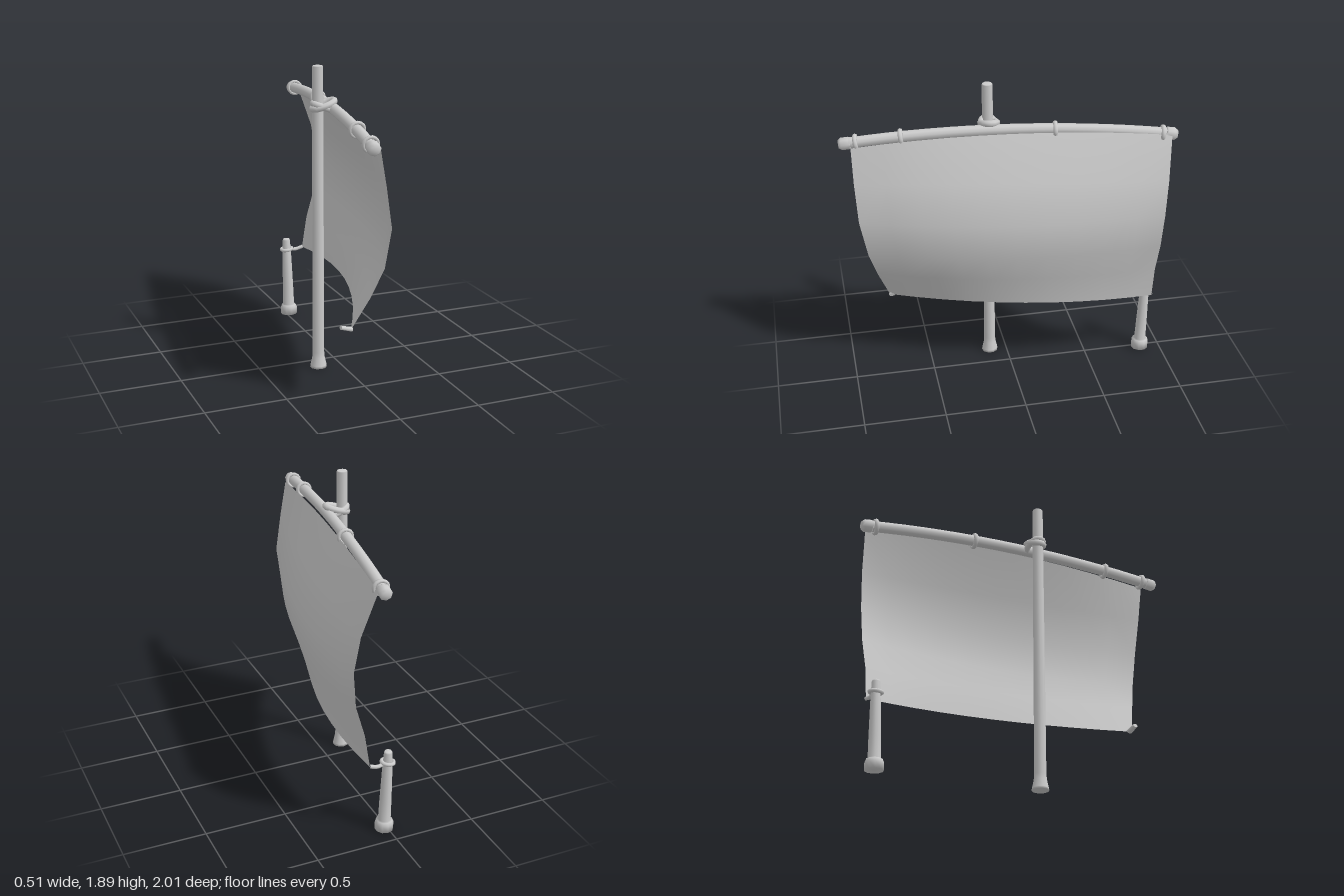
import * as THREE from 'three';

const mat = new THREE.MeshStandardMaterial({ color: 0xcccccc });
const clothMat = new THREE.MeshStandardMaterial({ color: 0xcccccc, side: THREE.DoubleSide });
const V = (x, y, z) => new THREE.Vector3(x, y, z);

function add(parent, name, geo, material = mat) {
  const mesh = new THREE.Mesh(geo, material);
  mesh.name = name;
  parent.add(mesh);
  return mesh;
}

// Turned pole: the radius/height profile is closed at both ends
function pole(profile, sides = 10) {
  const pts = profile.map(([r, y]) => new THREE.Vector2(r, y));
  return new THREE.LatheGeometry(pts, sides);
}

// Rope through a few points
function rope(points, r, closed = false) {
  const curve = new THREE.CatmullRomCurve3(points, closed);
  return new THREE.TubeGeometry(curve, closed ? 20 : 8, r, 7, closed);
}

// Lashing loop: an oval in the xz plane that climbs along x
function loop(cx, cy, cz, rx, rz, rise, r) {
  const pts = [];
  for (let i = 0; i < 10; i++) {
    const a = (i / 10) * Math.PI * 2;
    pts.push(V(cx + rx * Math.cos(a), cy + rise * Math.cos(a), cz + rz * Math.sin(a)));
  }
  return rope(pts, r, true);
}

// Centre line of the arched yard, t = 0 at the front and 1 at the back
const yardAt = (t) => V(-0.17 + 0.27 * t, 1.565 + 0.01 * t + 0.25 * t * (1 - t), 1 - 2 * t);

function makeSail() {
  // Rows from top to bottom: front edge xyz, back edge xyz, belly, lift at mid width
  const rows = [
    [-0.11, 1.56, 0.935, 0.13, 1.585, -0.96, 0, 0.05],
    [-0.07, 1.34, 0.932, 0.215, 1.32, -0.93, 0.055, 0.02],
    [-0.03, 1.1, 0.92, 0.245, 1.1, -0.91, 0.09, 0],
    [-0.05, 0.86, 0.875, 0.225, 0.88, -0.9, 0.1, 0],
    [-0.11, 0.68, 0.82, 0.165, 0.68, -0.895, 0.11, 0.01],
    [-0.2, 0.47, 0.745, 0.13, 0.465, -0.895, 0.14, 0.025],
  ];
  const cols = 10;
  const geo = new THREE.PlaneGeometry(1, 1, cols, rows.length - 1);
  const pos = geo.attributes.position;
  rows.forEach(([x0, y0, z0, x1, y1, z1, belly, lift], j) => {
    for (let i = 0; i <= cols; i++) {
      const u = i / cols;
      const bow = 4 * u * (1 - u);
      pos.setXYZ(j * (cols + 1) + i,
        x0 + (x1 - x0) * u + belly * bow,
        y0 + (y1 - y0) * u + lift * bow,
        z0 + (z1 - z0) * u);
    }
  });
  geo.computeVertexNormals();
  return geo;
}

export function createModel() {
  const model = new THREE.Group();
  model.name = 'sailOnMast';

  // Mast with flared foot
  add(model, 'mast', pole([[0, 0], [0.052, 0], [0.05, 0.015], [0.039, 0.065], [0.036, 0.1],
    [0.033, 1.885], [0.029, 1.89], [0, 1.89]])).position.set(-0.145, 0, 0.11);

  // Short mooring post, leaning slightly
  const post = add(model, 'mooringPost', pole([[0, 0], [0.056, 0], [0.056, 0.045], [0.048, 0.065],
    [0.038, 0.07], [0.036, 0.2], [0.031, 0.4], [0.025, 0.53], [0.02, 0.54], [0, 0.54]]));
  post.position.set(0.02, 0, -0.87);
  post.rotation.set(-0.035, 0, 0.015);

  // Arched yard with blunt end caps
  const yard = new THREE.Group();
  yard.name = 'yard';
  model.add(yard);
  const yardCurve = new THREE.CatmullRomCurve3(
    Array.from({ length: 9 }, (_, i) => yardAt(0.02 + 0.96 * i / 8)));
  add(yard, 'yardSpar', new THREE.TubeGeometry(yardCurve, 16, 0.034, 10));
  for (const [end, inner] of [[0, 0.035], [1, 0.965]]) {
    const a = yardAt(inner), b = yardAt(end);
    const len = a.distanceTo(b);
    const cap = add(yard, 'yardEnd', pole([[0, 0], [0.034, 0], [0.039, 0.01],
      [0.039, len * 0.75], [0.026, len], [0, len]], 8));
    cap.position.copy(a);
    cap.quaternion.setFromUnitVectors(V(0, 1, 0), b.sub(a).normalize());
  }

  // Sail
  add(model, 'sail', makeSail(), clothMat);

  // Rope rings tying the sail to the yard
  for (const t of [0.05, 0.182, 0.635, 0.955]) {
    const ring = add(model, 'sailRing', new THREE.TorusGeometry(0.041, 0.011, 7, 14));
    ring.position.copy(yardAt(t)).add(V(0.004, 0, 0));
    const dir = yardAt(t + 0.02).sub(yardAt(t - 0.02)).normalize();
    ring.quaternion.setFromUnitVectors(V(0, 0, 1), dir);
    ring.scale.z = 1.3;
  }

  // Crossed lashing that binds the yard to the mast
  add(model, 'mastLashing', loop(-0.108, 1.655, 0.11, 0.068, 0.047, 0.022, 0.021));
  add(model, 'mastLashing', loop(-0.108, 1.642, 0.11, 0.066, 0.045, -0.025, 0.02));

  // Tie from the back lower corner to the post
  add(model, 'postRing', loop(0.013, 0.466, -0.886, 0.036, 0.036, 0.004, 0.012));
  add(model, 'cornerTie', rope([V(0.04, 0.46, -0.89), V(0.08, 0.455, -0.895), V(0.132, 0.468, -0.893)], 0.012));

  // Toggle on the front lower corner
  const toggle = add(model, 'cornerToggle', new THREE.CylinderGeometry(0.017, 0.02, 0.07, 8));
  toggle.position.set(-0.22, 0.482, 0.732);
  toggle.rotation.z = 1.3;
  toggle.scale.x = 0.7;

  return model;
}
